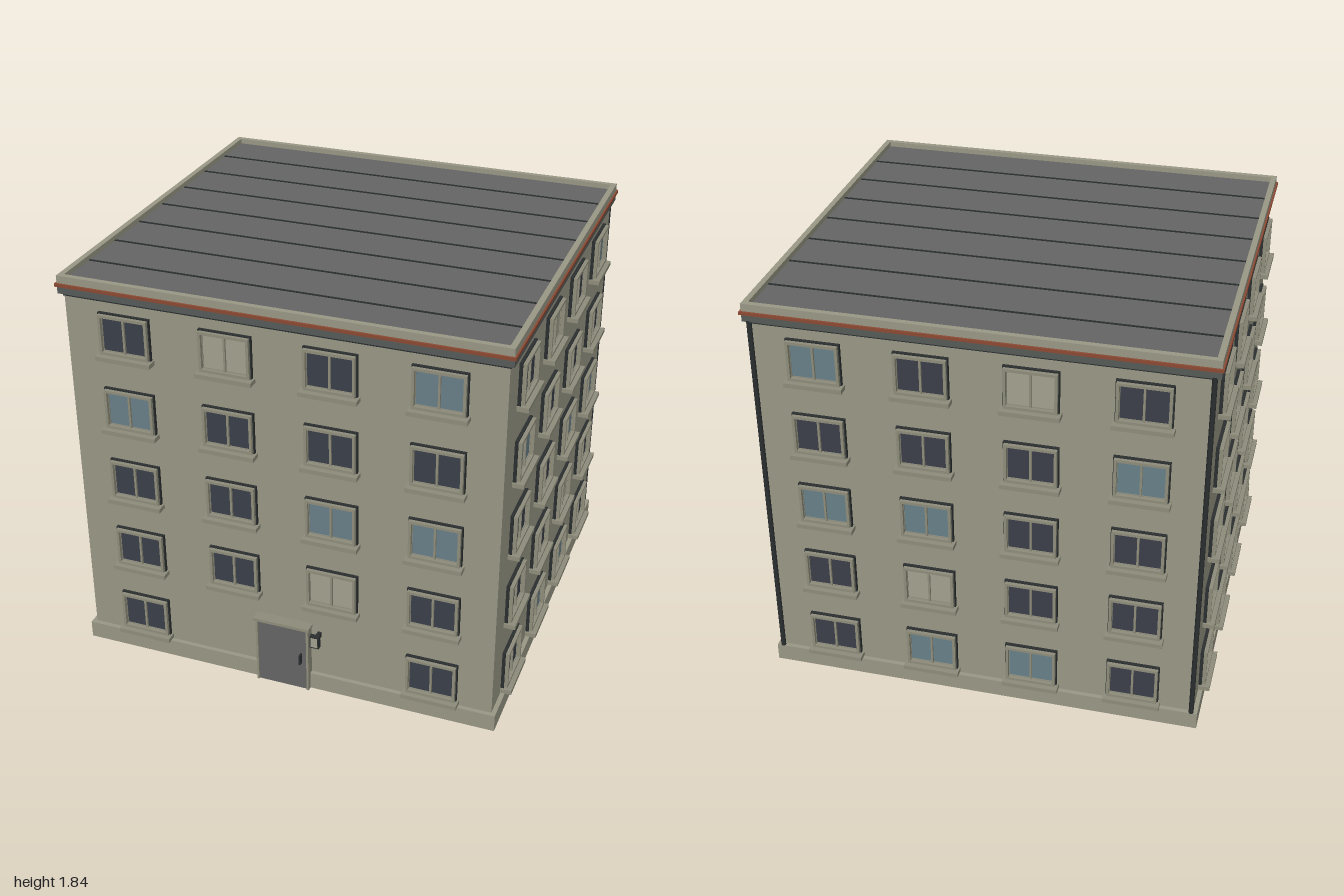
import * as THREE from 'three';

const mat = (name, color, side = THREE.FrontSide) => {
  const m = new THREE.MeshStandardMaterial({ color, side });
  m.name = name;
  return m;
};

export function createModel() {
  const wall = mat('wall plaster', 0x9a9886);
  const trim = mat('window frame', 0x8f8e7c);
  const dark = mat('dark metal', 0x2b2f30);
  const roofMat = mat('roof sheet', 0x646664);
  const band = mat('cornice grey', 0x565b58);
  const rust = mat('rust stripe', 0x8c4a33);
  const glassDark = mat('dark glass', 0x3b3f49);
  const glassBlue = mat('blue glass', 0x69808a);
  const blind = mat('closed blind', 0xa3a18f);
  const glass = { D: glassDark, B: glassBlue, L: blind };

  const model = new THREE.Group();
  model.name = 'apartmentBlock';
  const building = new THREE.Group();
  building.name = 'building';
  building.position.z = -0.01;
  model.add(building);

  const add = (parent, name, geo, material, x = 0, y = 0, z = 0) => {
    const m = new THREE.Mesh(geo, material);
    m.name = name;
    m.position.set(x, y, z);
    parent.add(m);
    return m;
  };
  // Box given by its centre in x, and by lower and upper bounds in y and z
  const box = (parent, name, material, x, w, y0, y1, z0, z1) =>
    add(parent, name, new THREE.BoxGeometry(w, y1 - y0, z1 - z0), material, x, (y0 + y1) / 2, (z0 + z1) / 2);
  // Rectangular ring, extruded along z
  const ring = (w, h, t, depth) => {
    const rect = (P, a, b) => new P([[-a, -b], [a, -b], [a, b], [-a, b]].map(p => new THREE.Vector2(...p)));
    const s = rect(THREE.Shape, w / 2, h / 2);
    s.holes.push(rect(THREE.Path, w / 2 - t, h / 2 - t));
    return new THREE.ExtrudeGeometry(s, { depth, bevelEnabled: false });
  };

  // Main volume and base
  const W = 0.95, D = 0.9;
  box(building, 'walls', wall, 0, 2 * W, 0.04, 1.76, -D, D);
  box(building, 'plinth', wall, 0, 1.94, 0, 0.08, -0.92, 0.92);

  // Cornice, stripe, parapet and seamed roof
  box(building, 'corniceShadowStrip', dark, 0, 1.91, 1.742, 1.756, -0.905, 0.905);
  box(building, 'corniceBand', band, 0, 1.94, 1.755, 1.79, -0.92, 0.92);
  box(building, 'corniceStripe', rust, 0, 1.955, 1.788, 1.802, -0.929, 0.929);
  const parapet = add(building, 'parapet', ring(1.94, 1.84, 0.025, 0.035), wall, 0, 1.8, 0);
  parapet.rotation.x = -Math.PI / 2;
  box(building, 'roof', roofMat, 0, 1.9, 1.795, 1.812, -0.9, 0.9);
  for (let i = -3; i <= 3; i++)
    box(building, 'roofSeam', dark, 0, 1.89, 1.81, 1.816, i * 0.229 - 0.004, i * 0.229 + 0.004);

  // Drainpipes on the back corners
  for (const s of [-1, 1])
    add(building, 'drainpipe', new THREE.CylinderGeometry(0.011, 0.011, 1.68, 10), dark, s * 0.943, 0.92, -0.912);

  // Shared window geometries
  const surroundGeo = ring(0.232, 0.19, 0.014, 0.014);
  const frameGeo = ring(0.222, 0.18, 0.012, 0.03);
  const sashGeo = ring(0.101, 0.158, 0.004, 0.008);
  const paneGeo = new THREE.BoxGeometry(0.2, 0.158, 0.008);
  const mullionGeo = new THREE.BoxGeometry(0.009, 0.158, 0.016);
  const sillGeo = new THREE.BoxGeometry(0.25, 0.02, 0.052);

  function makeWindow(kind) {
    const g = new THREE.Group();
    g.name = 'window';
    add(g, 'surround', surroundGeo, dark);
    add(g, 'frame', frameGeo, trim);
    add(g, 'glass', paneGeo, glass[kind], 0, 0, 0.006);
    add(g, 'mullion', mullionGeo, trim, 0, 0, 0.012);
    for (const s of [-1, 1]) add(g, 'sash', sashGeo, trim, s * 0.0505, 0, 0.006);
    add(g, 'sill', sillGeo, trim, 0, -0.103, 0.024);
    return g;
  }

  // Facades: rows listed from the ground up, columns left to right
  const rows = ['DBBD', 'DDLD', 'DDBB', 'BDDD', 'DLDB'];
  const facades = [
    { name: 'frontFacade', turn: 0, dist: D, step: 0.453, flip: false },
    { name: 'leftFacade', turn: 1, dist: W, step: 0.428, flip: false },
    { name: 'backFacade', turn: 2, dist: D, step: 0.453, flip: true },
    { name: 'rightFacade', turn: 3, dist: W, step: 0.428, flip: true },
  ];
  for (const f of facades) {
    const side = new THREE.Group();
    side.name = f.name;
    side.rotation.y = f.turn * Math.PI / 2;
    building.add(side);
    rows.forEach((row, floor) => {
      for (let c = 0; c < 4; c++) {
        if (f.turn === 0 && floor === 0 && (c === 1 || c === 2)) continue;
        const w = makeWindow(row[f.flip ? 3 - c : c]);
        w.position.set((c - 1.5) * f.step, 0.2 + floor * 0.35, f.dist);
        side.add(w);
      }
    });
  }

  // Entrance: door, jambs, lintel and handle
  const entrance = new THREE.Group();
  entrance.name = 'entrance';
  entrance.position.z = D;
  building.add(entrance);
  box(entrance, 'door', roofMat, 0, 0.232, 0, 0.326, 0, 0.034);
  for (const s of [-1, 1]) box(entrance, 'doorJamb', trim, s * 0.119, 0.01, 0, 0.326, 0, 0.042);
  box(entrance, 'lintel', trim, 0, 0.262, 0.326, 0.34, 0, 0.052);
  box(entrance, 'doorHandle', dark, 0.088, 0.008, 0.142, 0.192, 0.03, 0.056);

  // Wall lamp beside the door
  box(entrance, 'lampBracket', dark, 0.163, 0.016, 0.28, 0.305, 0, 0.05);
  box(entrance, 'lampHousing', dark, 0.163, 0.042, 0.262, 0.322, 0.046, 0.067);
  box(entrance, 'lampPlate', blind, 0.163, 0.03, 0.269, 0.315, 0.066, 0.07);

  return model;
}
